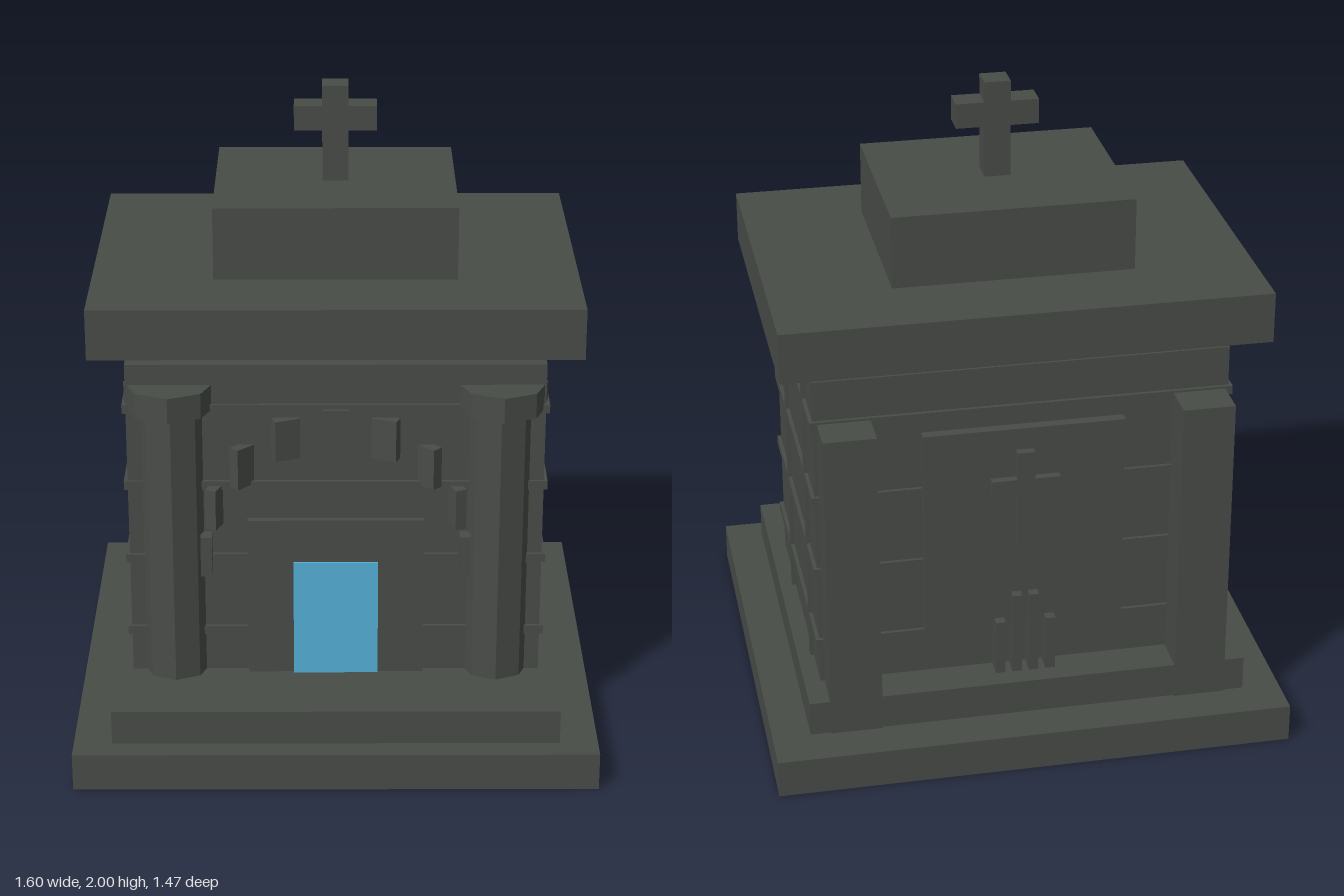
import * as THREE from 'three';

export function createModel() {
  const root = new THREE.Group();
  const stone = new THREE.MeshStandardMaterial({ color: 0x484c47, flatShading: true });
  stone.name = 'dark stone';
  const blue = new THREE.MeshStandardMaterial({ color: 0x55b0d6 });
  blue.name = 'blue door';

  // Box given by its extents on each axis
  function box(name, [x0, x1], [y0, y1], [z0, z1], material = stone, parent = root) {
    const mesh = new THREE.Mesh(new THREE.BoxGeometry(x1 - x0, y1 - y0, z1 - z0), material);
    mesh.position.set((x0 + x1) / 2, (y0 + y1) / 2, (z0 + z1) / 2);
    mesh.name = name;
    parent.add(mesh);
    return mesh;
  }
  const sym = (w) => [-w, w];

  function cross(name, halfStem, halfArm, y, armY, z) {
    const group = new THREE.Group();
    group.name = name;
    box('crossStem', sym(halfStem), y, z, stone, group);
    box('crossArmLeft', [halfStem, halfArm], armY, z, stone, group);
    box('crossArmRight', [-halfArm, -halfStem], armY, z, stone, group);
    root.add(group);
  }

  // Plinth, chamber and stacked roof
  box('base', sym(0.8), [0, 0.12], sym(0.735));
  box('step', sym(0.683), [0.12, 0.23], [-0.602, 0.665]);
  box('chamber', sym(0.632), [0.23, 1.255], [-0.478, 0.39]);
  box('roofSlab', sym(0.735), [1.31, 1.467], [-0.58, 0.488]);
  box('roofCap', sym(0.367), [1.475, 1.7], [-0.345, 0.252]);
  cross('roofCross', 0.04, 0.126, [1.7, 2], [1.86, 1.937], [-0.087, -0.007]);

  // Raised joints: rings around the chamber and uprights on its sides
  for (const y of [0.37, 0.618, 0.863, 1.115])
    box('jointRing', sym(0.643), [y - 0.014, y + 0.014], [-0.489, 0.4]);
  for (const side of [-1, 1])
    for (const z of [0.125, -0.31])
      box('jointUpright', [side * 0.64 - 0.008, side * 0.64 + 0.003],
        [0.23, 1.22], [z - 0.015, z + 0.015]);

  // Eight-sided front columns with capitals, and square piers at the back
  function octagon(name, radius, y0, y1, x) {
    const mesh = new THREE.Mesh(new THREE.CylinderGeometry(radius, radius, y1 - y0, 8), stone);
    mesh.position.set(x, (y0 + y1) / 2, 0.362);
    mesh.name = name;
    root.add(mesh);
  }
  for (const side of [-1, 1]) {
    octagon('column', 0.104, 0.23, 1.11, side * 0.495);
    octagon('columnCapital', 0.138, 1.11, 1.19, side * 0.5);
    const x = side * 0.54;
    box('backPier', [x - 0.08, x + 0.08], [0.12, 1.122], [-0.608, -0.47]);
  }

  // Doorway
  box('doorSurround', sym(0.27), [0.23, 0.75], [0.38, 0.41]);
  for (const side of [-1, 1]) {
    const x = side * 0.065;
    box('doorLeaf', [x - 0.065, x + 0.065], [0.23, 0.61], [0.409, 0.417], blue);
  }

  // Arch of small blocks, each turned inward about its upright axis
  for (let i = -4; i <= 4; i++) {
    const a = i * Math.PI / 8;
    const block = new THREE.Mesh(new THREE.BoxGeometry(0.08, 0.13, 0.035), stone);
    block.position.set(0.395 * Math.sin(a), 0.64 + 0.41 * Math.cos(a), 0.397);
    block.rotation.y = -a;
    block.name = 'archBlock';
    root.add(block);
  }

  // Rear memorial panel with a cross and four upright bars
  box('rearPanel', sym(0.308), [0.38, 1.06], [-0.51, -0.47]);
  cross('rearCross', 0.027, 0.105, [0.68, 0.99], [0.84, 0.9], [-0.535, -0.5]);
  [0.41, 0.5, 0.5, 0.41].forEach((top, i) => {
    const x = -0.078 + i * 0.052;
    box('rearBar', [x - 0.015, x + 0.015], [0.23, top], [-0.54, -0.47]);
  });

  return root;
}
